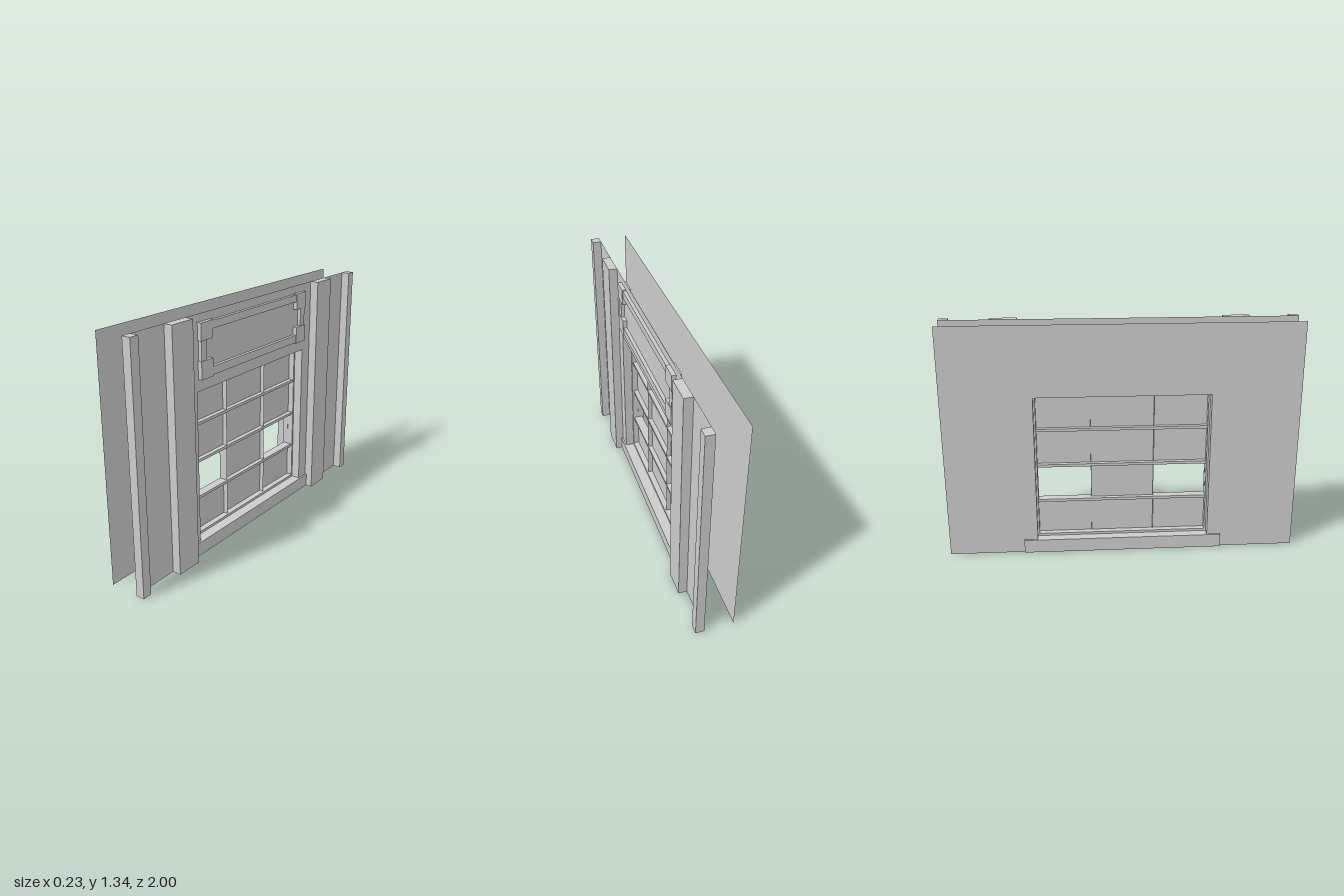
import * as THREE from 'three';

export function createModel() {
  const model = new THREE.Group();
  const mat = new THREE.MeshStandardMaterial({ color: 0xcccccc, flatShading: true });
  const sheetMat = new THREE.MeshStandardMaterial({ color: 0xcccccc, flatShading: true, side: THREE.DoubleSide });

  // Box given by its min and max on each axis
  function box(name, x0, x1, y0, y1, z0, z1) {
    const mesh = new THREE.Mesh(new THREE.BoxGeometry(x1 - x0, y1 - y0, z1 - z0), mat);
    mesh.position.set((x0 + x1) / 2, (y0 + y1) / 2, (z0 + z1) / 2);
    mesh.name = name;
    model.add(mesh);
  }
  const mirrored = (name, x0, x1, y0, y1, z0, z1) => {
    box(name, x0, x1, y0, y1, z0, z1);
    box(name, x0, x1, y0, y1, -z1, -z0);
  };

  // Thin upright sheet facing +x, with rectangular holes [z0, z1, y0, y1]
  function rect(path, [a, b, c, d]) {
    path.moveTo(a, c).lineTo(b, c).lineTo(b, d).lineTo(a, d).closePath();
    return path;
  }
  function sheet(name, x, outline, holes) {
    const shape = rect(new THREE.Shape(), outline);
    shape.holes = holes.map(h => rect(new THREE.Path(), h));
    const mesh = new THREE.Mesh(new THREE.ShapeGeometry(shape).rotateY(Math.PI / 2), sheetMat);
    mesh.position.x = x;
    mesh.name = name;
    model.add(mesh);
  }
  function plane(name, w, h, x, y, z, rx) {
    const mesh = new THREE.Mesh(new THREE.PlaneGeometry(w, h), sheetMat);
    mesh.position.set(x, y, z);
    mesh.rotation.x = rx;
    mesh.name = name;
    model.add(mesh);
  }

  const H = 1.335, front = 0.064, back = -0.102;
  const oz = 0.495, oy0 = 0.078, oy1 = 0.933;

  // Two wall skins with the window opening
  const opening = [-oz, oz, oy0, oy1];
  sheet('frontWall', front, [-1, 1, 0, H], [opening]);
  sheet('backWall', back, [-1, 1, 0, H], [opening]);

  // Reveal joining the skins around the opening
  const mid = (front + back) / 2, depth = front - back;
  for (const s of [-1, 1]) plane('jamb', depth, oy1 - oy0, mid, (oy0 + oy1) / 2, s * oz, 0);
  plane('head', depth, 2 * oz, mid, oy1, 0, Math.PI / 2);

  // Sill and pilasters
  box('sill', -0.113, 0.075, 0, oy0, -0.573, 0.573);
  mirrored('innerPilaster', front, 0.113, 0, H, 0.573, 0.725);
  mirrored('outerPilaster', front, 0.113, 0, H, 0.947, 1);

  // Window frame
  mirrored('frameSide', -0.056, 0.014, 0.092, 0.922, 0.485, 0.506);
  box('frameTop', -0.056, 0.014, 0.922, 0.947, -0.506, 0.506);
  box('frameBottom', -0.056, 0.014, 0.067, 0.092, -0.506, 0.506);

  // Glazing with two open panes, crossed by bars
  const px = -0.02;
  sheet('panes', px, [-0.486, 0.486, 0.09, 0.924],
    [[-0.484, -0.18, 0.304, 0.505], [0.18, 0.484, 0.304, 0.505]]);
  for (const y of [0.297, 0.512, 0.726]) box('horizontalBar', -0.046, 0.006, y - 0.008, y + 0.008, -0.486, 0.486);
  for (const s of [-1, 1]) plane('verticalBar', 0.052, 0.83, px, 0.507, s * 0.18, 0);

  // Raised panel moulding above the window
  mirrored('panelCornerTop', 0.036, 0.087, 1.2, 1.293, 0.39, 0.484);
  mirrored('panelCornerBottom', 0.036, 0.087, 0.998, 1.095, 0.39, 0.484);
  mirrored('panelSideRail', 0.04, 0.083, 1.095, 1.2, 0.436, 0.479);
  box('panelTopRail', 0.04, 0.083, 1.246, 1.288, -0.39, 0.39);
  box('panelBottomRail', 0.04, 0.083, 1.003, 1.048, -0.39, 0.39);

  return model;
}
